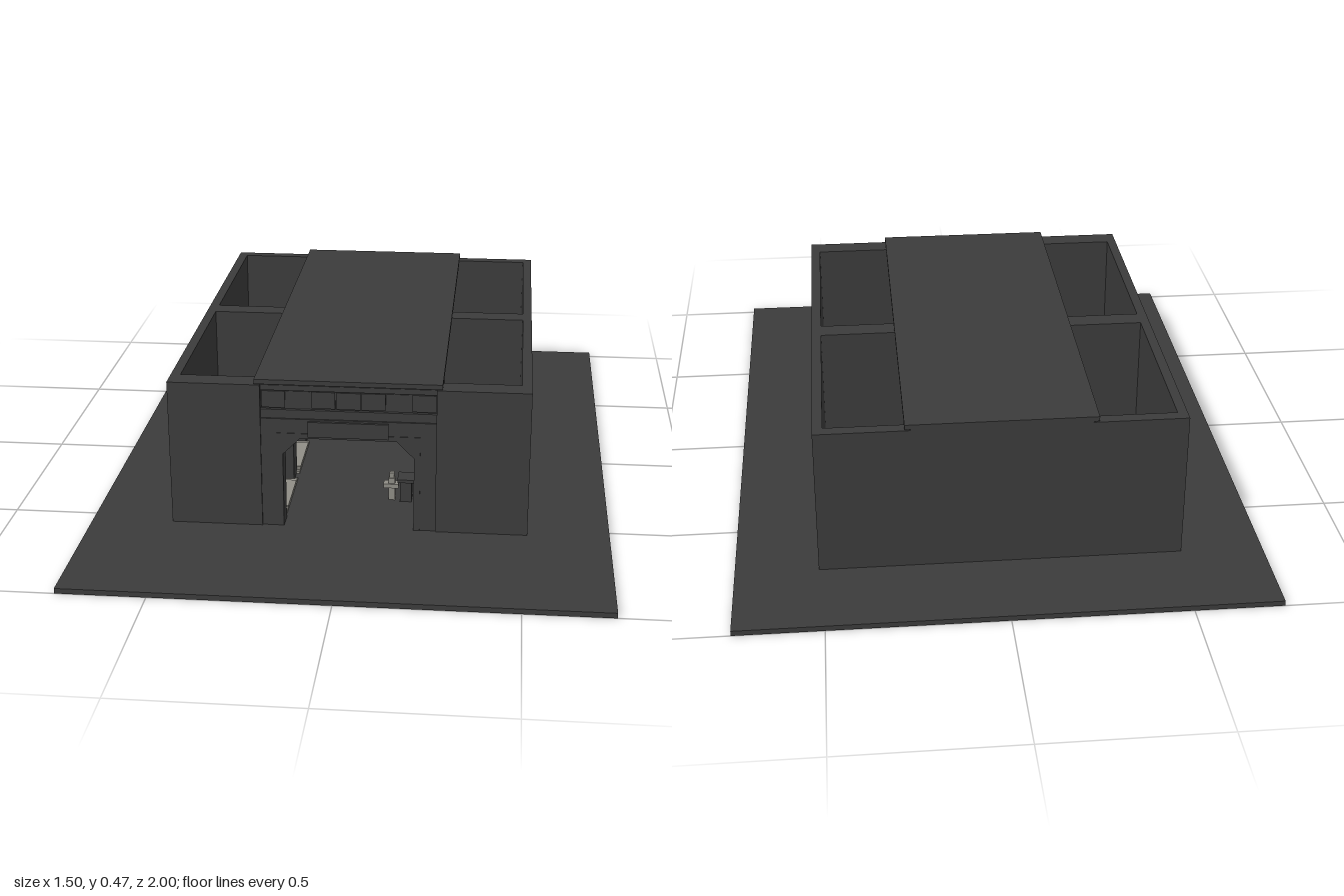
import * as THREE from 'three';

const stone = new THREE.MeshStandardMaterial({ color: 0x3c3c3c });
stone.name = 'dark stone';
const pale = new THREE.MeshStandardMaterial({ color: 0x908e87 });
pale.name = 'pale floor';

// Box given by its minimum and maximum corners
function box(parent, name, x0, x1, y0, y1, z0, z1, mat = stone) {
  const m = new THREE.Mesh(new THREE.BoxGeometry(x1 - x0, y1 - y0, z1 - z0), mat);
  m.position.set((x0 + x1) / 2, (y0 + y1) / 2, (z0 + z1) / 2);
  m.name = name;
  parent.add(m);
  return m;
}

// Wall with a chamfered doorway, centred on x, extruded from z = 0 to depth
function archWall(name, width, height, openWidth, openHeight, chamfer, depth) {
  const w = width / 2, o = openWidth / 2, c = chamfer;
  const s = new THREE.Shape([
    [-w, 0], [-o, 0], [-o, openHeight - c], [-o + c, openHeight],
    [o - c, openHeight], [o, openHeight - c], [o, 0], [w, 0], [w, height], [-w, height],
  ].map(([x, y]) => new THREE.Vector2(x, y)));
  const m = new THREE.Mesh(new THREE.ExtrudeGeometry(s, { depth, bevelEnabled: false }), stone);
  m.name = name;
  return m;
}

// Rough beam: two ledges and a row of uneven blocks, facing +z with its back at z = 0
function roughBeam(name, length) {
  const g = new THREE.Group();
  g.name = name;
  const h = length / 2, n = Math.round(length / 0.07), step = length / n;
  box(g, 'beamCore', -h, h, 0, 0.1, 0, 0.03);
  box(g, 'lowerLedge', -h, h, 0, 0.026, 0.03, 0.04);
  box(g, 'upperLedge', -h, h, 0.084, 0.1, 0.03, 0.04);
  for (let i = 0; i < n; i++) {
    const x = -h + i * step, bump = 0.004 * Math.abs(Math.sin(i * 2.3 + 1));
    box(g, 'beamBlock', x + 0.002, x + step - 0.002, 0.03, 0.08, 0.03, 0.032 + bump);
  }
  return g;
}

export function createModel() {
  const model = new THREE.Group();
  model.name = 'hall';
  const Y = 0.015, TOP = 0.45;

  box(model, 'groundSlab', -0.75, 0.75, 0, Y, -1, 1);
  box(model, 'backWall', -0.515, 0.515, Y, TOP, -0.735, -0.7);
  box(model, 'roof', -0.266, 0.266, 0.453, 0.467, -0.735, 0.565);
  box(model, 'roofSeat', -0.25, 0.25, 0.445, 0.453, -0.735, 0.55);

  // Front gate
  const gate = archWall('gate', 0.5, 0.333, 0.375, 0.275, 0.05, 0.055);
  gate.position.set(0, Y, 0.505);
  model.add(gate);
  const trim = archWall('gateTrim', 0.41, 0.29, 0.375, 0.275, 0.05, 0.004);
  trim.position.set(0, Y, 0.558);
  model.add(trim);
  box(model, 'gatePlate', -0.115, 0.115, 0.297, 0.343, 0.56, 0.568);
  const lintel = roughBeam('gateLintel', 0.5);
  lintel.position.set(0, 0.348, 0.515);
  model.add(lintel);

  // Side wings, open to the sky
  const bays = [[-0.69, -0.43], [-0.405, -0.145], [-0.065, 0.205], [0.23, 0.495]];
  for (const s of [-1, 1]) {
    const wing = new THREE.Group();
    wing.name = s > 0 ? 'leftWing' : 'rightWing';
    model.add(wing);
    const sbox = (name, a, b, ...rest) =>
      box(wing, name, Math.min(s * a, s * b), Math.max(s * a, s * b), ...rest);
    sbox('outerWall', 0.487, 0.515, Y, TOP, -0.7, 0.5);
    sbox('frontWall', 0.25, 0.515, Y, TOP, 0.5, 0.565);
    sbox('divider', 0.2, 0.487, Y, TOP, -0.133, -0.07);
    sbox('curb', 0.46, 0.48, Y, 0.05, -0.7, -0.133);
    sbox('curb', 0.46, 0.48, Y, 0.05, -0.07, 0.5);

    for (const [z0, z1] of bays) {
      const zc = (z0 + z1) / 2;
      // Stepped floor panel
      [0, 0.014, 0.03].forEach((d, i) =>
        sbox('floorPanel', 0.19, 0.455 - d, Y, 0.021 + i * 0.003, z0 + 0.01 + d, z1 - 0.01 - d, pale));
      sbox('bayCurb', 0.2, 0.46, Y, 0.04, z0 - 0.012, z0 + 0.006);
      sbox('bayCurb', 0.2, 0.46, Y, 0.04, z1 - 0.006, z1 + 0.012);
      // Doorway to the passage
      const door = archWall('bayDoorway', 0.3, 0.333, 0.225, 0.275, 0.035, 0.045);
      door.rotation.y = s * Math.PI / 2;
      door.position.set(s * 0.2, Y, zc);
      wing.add(door);
    }
    // Rough beams above the doorways
    for (const zc of [-0.4165, 0.215]) {
      const beam = roughBeam('bayBeam', 0.567);
      beam.rotation.y = s * Math.PI / 2;
      beam.position.set(s * 0.21, 0.348, zc);
      wing.add(beam);
    }
  }

  // Small furniture in the passage and one bay
  const desk = new THREE.Group();
  desk.name = 'desk';
  model.add(desk);
  box(desk, 'deskPost', 0.1, 0.12, Y, 0.085, 0.34, 0.36, pale);
  box(desk, 'deskArm', 0.085, 0.13, 0.055, 0.068, 0.335, 0.365, pale);
  box(desk, 'deskHead', 0.103, 0.117, 0.085, 0.102, 0.343, 0.357, pale);
  box(desk, 'deskBody', 0.135, 0.17, Y, 0.08, 0.33, 0.37);
  box(desk, 'deskTop', 0.128, 0.178, 0.08, 0.09, 0.32, 0.38);
  const bench = box(model, 'bench', 0.288, 0.304, 0.02, 0.045, 0.305, 0.37, pale);
  bench.rotation.y = 0.3;

  return model;
}
